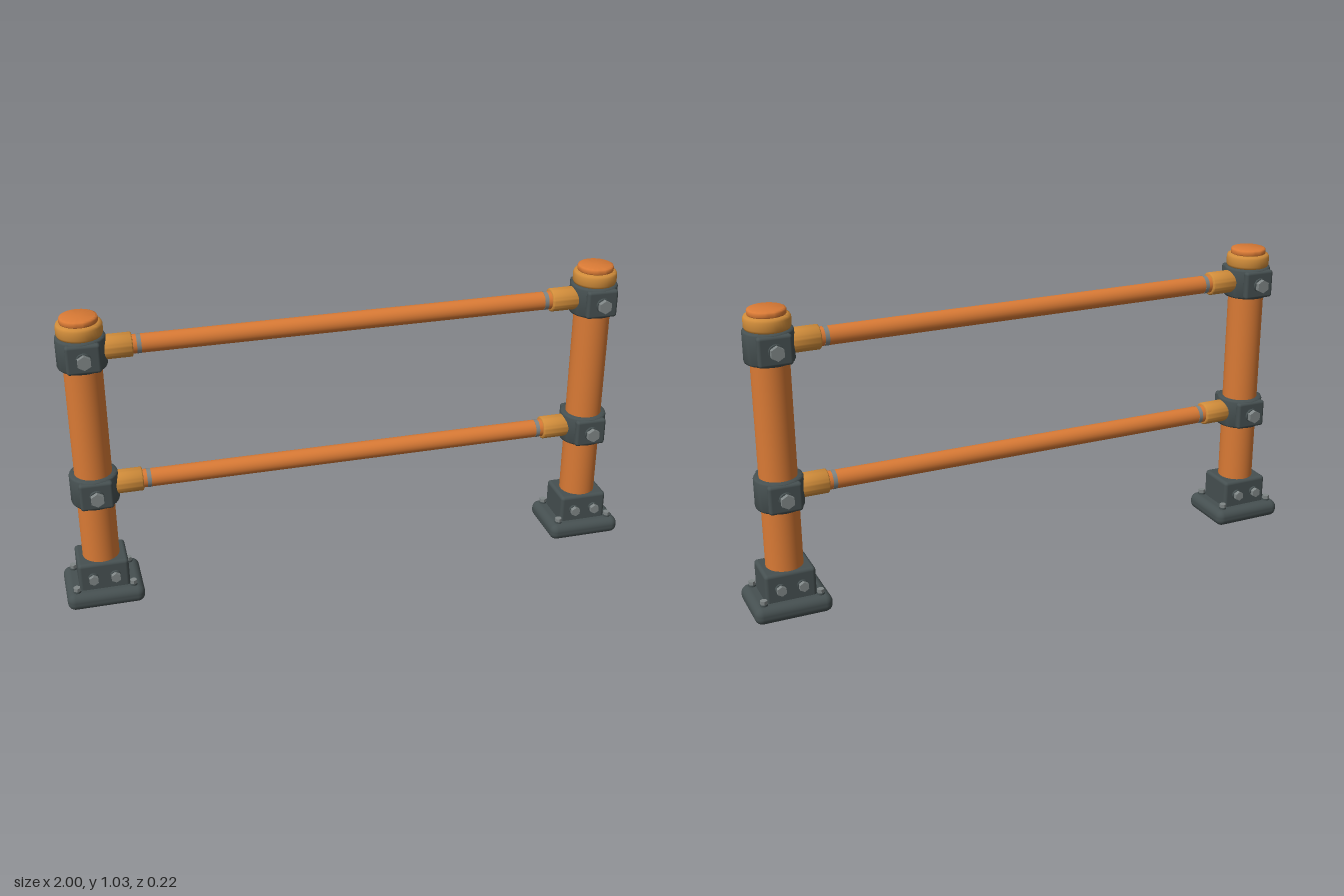
import * as THREE from 'three';
import { RoundedBoxGeometry } from 'three/addons/geometries/RoundedBoxGeometry.js';
import { toCreasedNormals } from 'three/addons/utils/BufferGeometryUtils.js';

function mat(name, color) {
  const m = new THREE.MeshStandardMaterial({ color });
  m.name = name;
  return m;
}

export function createModel() {
  const orange = mat('orange paint', 0xd97a35);
  const amber = mat('amber paint', 0xd08c3a);
  const iron = mat('dark iron', 0x465051);
  const steel = mat('bolt steel', 0x7f8686);

  const add = (parent, name, geo, material, x = 0, y = 0, z = 0) => {
    const mesh = new THREE.Mesh(geo, material);
    mesh.name = name;
    mesh.position.set(x, y, z);
    parent.add(mesh);
    return mesh;
  };

  // Closed drum with softened rims, standing from y = 0 to h
  const drum = (r, h, b) => {
    const pts = [[0, 0], [r - b, 0], [r - b * 0.3, b * 0.3], [r, b],
      [r, h - b], [r - b * 0.3, h - b * 0.3], [r - b, h], [0, h]];
    const lathe = new THREE.LatheGeometry(pts.map(p => new THREE.Vector2(...p)), 40);
    return toCreasedNormals(lathe, 0.9);
  };

  // Hex bolt with washer, pointing along +y from its own origin
  const bolt = (r, length, name) => {
    const g = new THREE.Group();
    g.name = name;
    const w = length * 0.4;
    add(g, 'washer', new THREE.CylinderGeometry(r, r, w, 20), iron, 0, w / 2, 0);
    const head = toCreasedNormals(new THREE.CylinderGeometry(r * 0.95, r * 0.95, length - w, 6), 0.3);
    add(g, 'boltHead', head, steel, 0, w + (length - w) / 2, 0);
    return g;
  };

  const makePost = () => {
    const post = new THREE.Group();

    // Foot plate, socket and tube
    add(post, 'footPlate', new RoundedBoxGeometry(0.26, 0.06, 0.216, 5, 0.026), iron, 0, 0.032, 0);
    add(post, 'socket', new RoundedBoxGeometry(0.17, 0.12, 0.144, 3, 0.012), iron, 0, 0.1, 0);
    add(post, 'postTube', new THREE.CylinderGeometry(0.062, 0.062, 0.86, 40), orange, 0, 0.54, 0);

    // Cap ring and cap top
    add(post, 'capRing', drum(0.074, 0.048, 0.011), amber, 0, 0.963, 0);
    add(post, 'capTop', drum(0.061, 0.024, 0.007), orange, 0, 1.006, 0);

    // Anchor bolts on the plate and side bolts on the socket
    for (const sz of [-1, 1]) {
      for (const sx of [-1, 1]) {
        const anchor = bolt(0.013, 0.02, 'anchorBolt');
        anchor.position.set(sx * 0.095, 0.06, sz * 0.074);
        post.add(anchor);
        const side = bolt(0.018, 0.024, 'socketBolt');
        side.position.set(sx * 0.037, 0.108, sz * 0.071);
        side.rotation.x = sz * Math.PI / 2;
        post.add(side);
      }
    }

    // Collars with clamp plates and through bolts
    for (const y of [0.422, 0.912]) {
      const collar = new THREE.Group();
      collar.name = 'collar';
      collar.position.y = y;
      add(collar, 'collarBand', drum(0.08, 0.106, 0.007), iron, 0, -0.053, 0);
      for (const s of [-1, 1]) {
        add(collar, 'clampPlate', new RoundedBoxGeometry(0.11, 0.098, 0.026, 3, 0.01), iron, 0, 0, s * 0.071);
        const b = bolt(0.025, 0.026, 'collarBolt');
        b.position.z = s * 0.082;
        b.rotation.x = s * Math.PI / 2;
        collar.add(b);
      }
      post.add(collar);
    }
    return post;
  };

  const model = new THREE.Group();
  model.name = 'railing';
  for (const s of [-1, 1]) {
    const post = makePost();
    post.name = s < 0 ? 'rightPost' : 'leftPost';
    post.position.x = s * 0.87;
    model.add(post);
  }

  // Rails with end sleeves and narrow steel bands
  for (const y of [0.425, 0.915]) {
    const rail = new THREE.Group();
    rail.name = y > 0.6 ? 'upperRail' : 'lowerRail';
    rail.position.y = y;
    const tube = add(rail, 'railTube', new THREE.CylinderGeometry(0.031, 0.031, 1.6, 28), orange);
    tube.rotation.z = Math.PI / 2;
    for (const s of [-1, 1]) {
      const sleeve = add(rail, 'railSleeve', drum(0.04, 0.11, 0.004), amber, s * 0.82, 0, 0);
      sleeve.rotation.z = s * Math.PI / 2;
      const band = add(rail, 'railBand', new THREE.CylinderGeometry(0.0318, 0.0318, 0.014, 28), steel, s * 0.69, 0, 0);
      band.rotation.z = Math.PI / 2;
    }
    model.add(rail);
  }
  return model;
}
